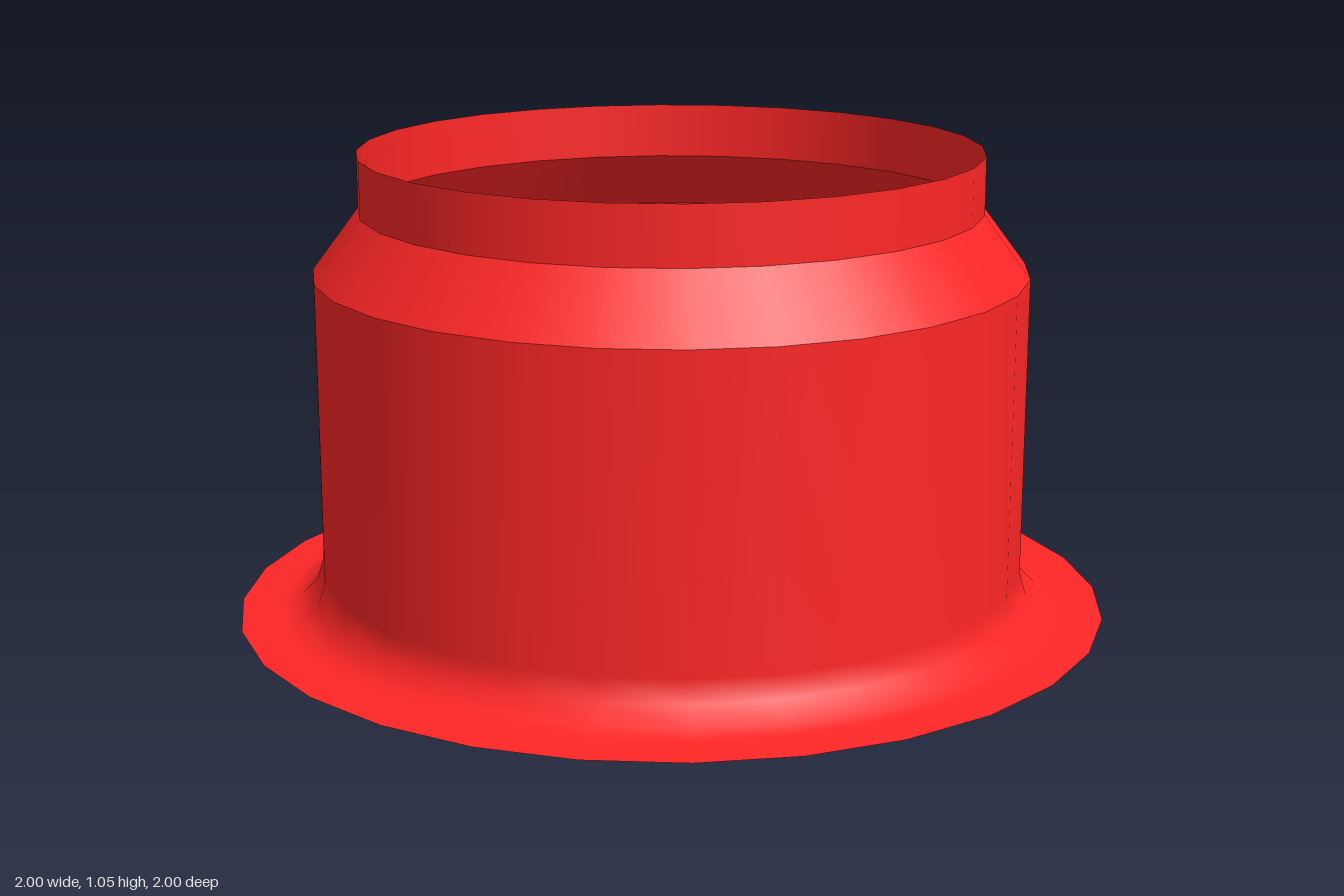
import * as THREE from 'three';

const SIDES = 28;
const KNOB_SIDES = 16;

export function createModel() {
  const model = new THREE.Group();
  const shellMat = new THREE.MeshStandardMaterial({ color: 0xff2626, side: THREE.DoubleSide });
  const knobMat = new THREE.MeshStandardMaterial({ color: 0xff2626 });

  const add = (name, geometry, material, y = 0) => {
    const mesh = new THREE.Mesh(geometry, material);
    mesh.name = name;
    mesh.position.y = y;
    model.add(mesh);
  };

  // Thin open shell: each band is its own lathe so the joints stay sharp
  const bands = {
    flangeAndWall: [[1, 0], [0.9, 0.003], [0.86, 0.015], [0.825, 0.05], [0.81, 0.1], [0.81, 0.785]],
    shoulder: [[0.81, 0.785], [0.705, 0.925]],
    collar: [[0.705, 0.925], [0.705, 1.055]],
  };
  for (const [name, profile] of Object.entries(bands)) {
    const points = profile.map(([r, y]) => new THREE.Vector2(r, y));
    add(name, new THREE.LatheGeometry(points, SIDES), shellMat);
  }

  // Free-standing knob in the middle: flared base with a short stem
  const baseBottom = 0.045, baseTop = 0.145, stemTop = 0.225;
  add('knobBase',
    new THREE.CylinderGeometry(0.133, 0.262, baseTop - baseBottom, KNOB_SIDES),
    knobMat, (baseBottom + baseTop) / 2);
  add('knobStem',
    new THREE.CylinderGeometry(0.133, 0.133, stemTop - baseTop, KNOB_SIDES),
    knobMat, (baseTop + stemTop) / 2);

  return model;
}
